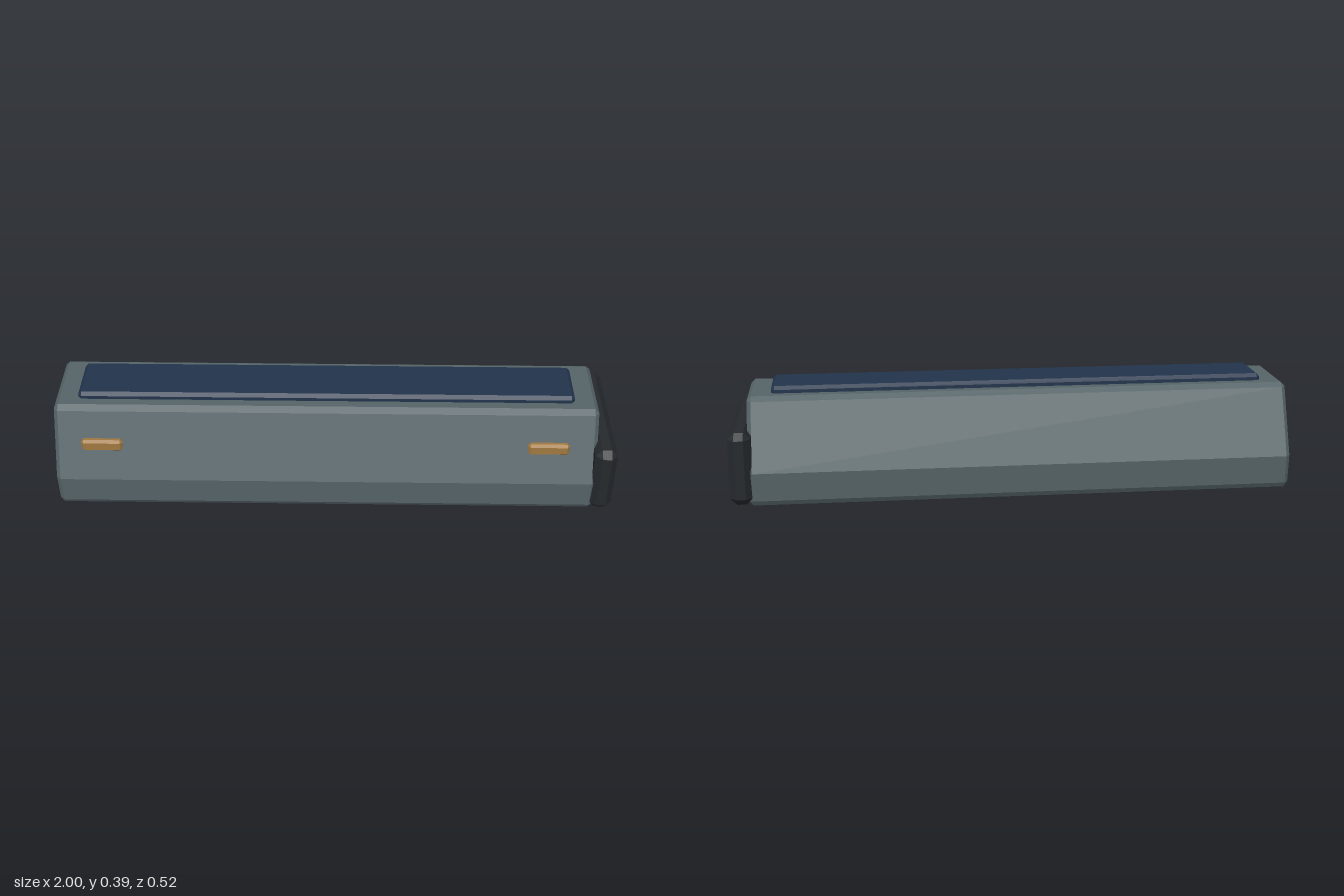
import * as THREE from 'three';
import { ConvexGeometry } from 'three/addons/geometries/ConvexGeometry.js';

const V = (x, y, z) => new THREE.Vector3(x, y, z);

function part(name, points, color) {
  const material = new THREE.MeshStandardMaterial({ color, flatShading: true });
  const mesh = new THREE.Mesh(new ConvexGeometry(points), material);
  mesh.name = name;
  return mesh;
}

// Box with every edge chamfered by b: three points per corner.
function chamferBox(name, [w, h, d], [x, y, z], b, color) {
  const points = [];
  for (const sx of [-1, 1]) for (const sy of [-1, 1]) for (const sz of [-1, 1]) {
    const [hx, hy, hz] = [w / 2, h / 2, d / 2];
    points.push(
      V(sx * hx, sy * (hy - b), sz * (hz - b)),
      V(sx * (hx - b), sy * hy, sz * (hz - b)),
      V(sx * (hx - b), sy * (hy - b), sz * hz));
  }
  const mesh = part(name, points, color);
  mesh.position.set(x, y, z);
  return mesh;
}

export function createModel() {
  const group = new THREE.Group();

  // Hull: half profile [z, y], full size between the ends, inset at the end faces
  const outer = [[0.232, 0], [0.243, 0.018], [0.25, 0.12], [0.152, 0.353], [0.13, 0.368]];
  const inner = [[0.227, 0.016], [0.235, 0.12], [0.135, 0.353]];
  const points = [];
  for (const side of [-1, 1]) {
    for (const [z, y] of outer) points.push(V(-0.985, y, side * z), V(0.92, y, side * z));
    for (const [z, y] of inner) points.push(V(-1, y, side * z), V(0.935, y, side * z));
  }
  group.add(part('body', points, 0x566468));

  // Dark plate on one end
  group.add(chamferBox('endCap', [0.08, 0.26, 0.524], [0.96, 0.137, 0], 0.024, 0x25292d));

  // Long panel on the roof
  group.add(chamferBox('roofPanel', [1.77, 0.036, 0.196], [-0.033, 0.374, 0], 0.012, 0x22344c));

  // Two marker lights set into the front slope
  for (const x of [-0.83, 0.76]) {
    group.add(chamferBox('markerLight', [0.148, 0.047, 0.032], [x, 0.2385, 0.194], 0.009, 0xa07840));
  }
  return group;
}
